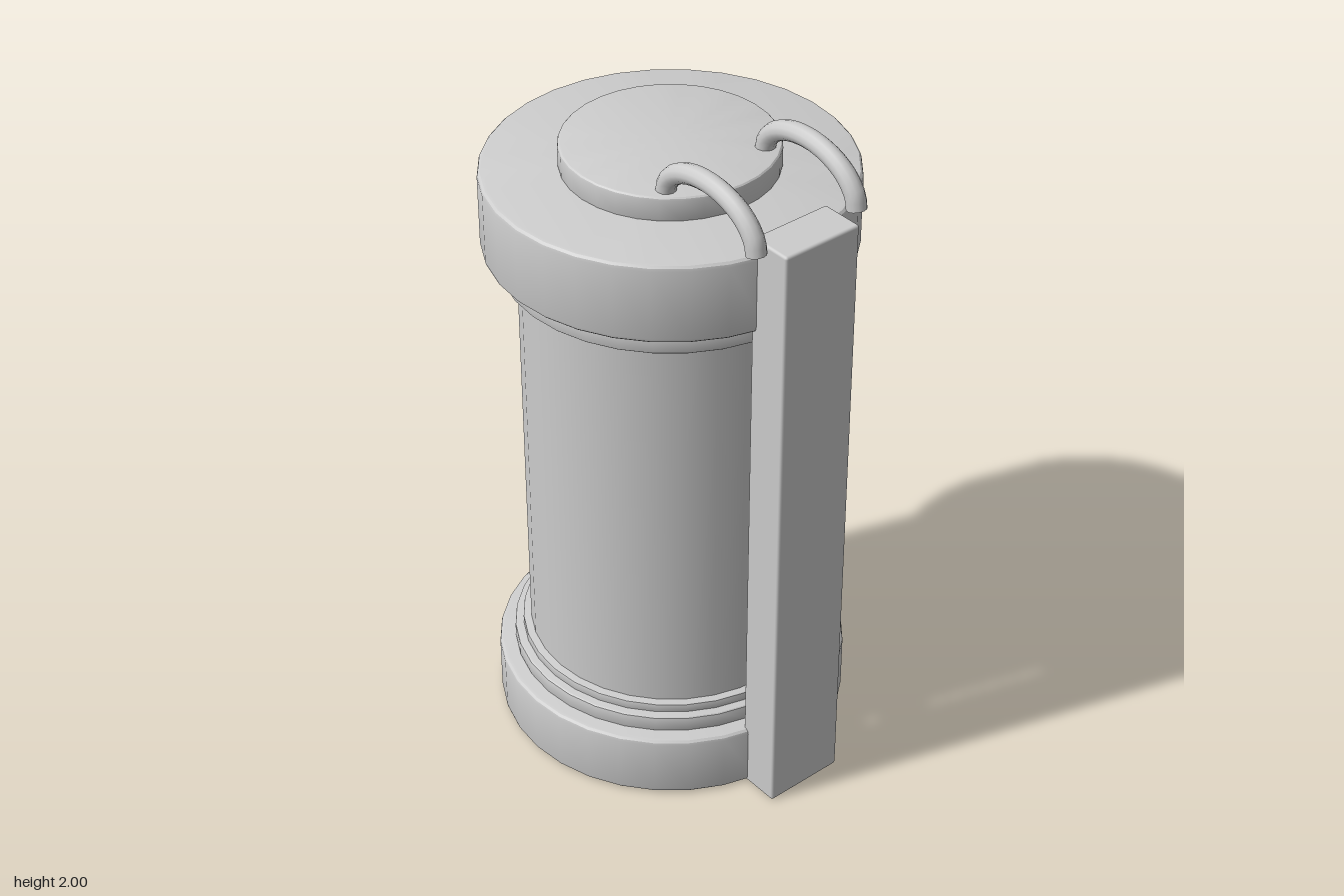
import * as THREE from 'three';
import { toCreasedNormals } from 'three/addons/utils/BufferGeometryUtils.js';
import { RoundedBoxGeometry } from 'three/addons/geometries/RoundedBoxGeometry.js';

const AXIS_Z = -0.045; // centre of the round body

export function createModel() {
  const model = new THREE.Group();
  const grey = new THREE.MeshStandardMaterial({ color: 0xcccccc });
  grey.name = 'light grey';

  function add(name, geometry, x = 0, y = 0, z = 0) {
    const mesh = new THREE.Mesh(geometry, grey);
    mesh.name = name;
    mesh.position.set(x, y, z);
    model.add(mesh);
    return mesh;
  }

  // Round slab from y0 to y1 with rounded rims of radius b
  function disc(name, radius, y0, y1, b) {
    const pts = [new THREE.Vector2(0, y0)];
    for (let i = 0; i <= 3; i++) {
      const a = (i / 3) * Math.PI / 2;
      pts.push(new THREE.Vector2(radius - b + b * Math.sin(a), y0 + b - b * Math.cos(a)));
    }
    for (let i = 0; i <= 3; i++) {
      const a = (i / 3) * Math.PI / 2;
      pts.push(new THREE.Vector2(radius - b + b * Math.cos(a), y1 - b + b * Math.sin(a)));
    }
    pts.push(new THREE.Vector2(0, y1));
    add(name, toCreasedNormals(new THREE.LatheGeometry(pts, 32), 0.5), 0, 0, AXIS_Z);
  }

  // Body and stacked collars
  disc('base', 0.51, 0.005, 0.203, 0.016);
  disc('lowerCollar', 0.463, 0.2, 0.252, 0.008);
  disc('lowerCollarStep', 0.438, 0.25, 0.28, 0.004);
  add('barrel', new THREE.CylinderGeometry(0.415, 0.415, 1.3, 32), 0, 0.89, AXIS_Z);
  disc('upperCollar', 0.465, 1.51, 1.557, 0.004);
  disc('upperCollarStep', 0.458, 1.555, 1.58, 0.004);
  disc('cap', 0.51, 1.57, 1.805, 0.016);
  disc('lid', 0.297, 1.8, 1.875, 0.01);

  // Front post and the brackets that hold it
  add('post', new RoundedBoxGeometry(0.246, 1.845, 0.127, 2, 0.008), 0, 0.928, 0.492);
  for (const y of [0.54, 1.26]) {
    add('bracket', new THREE.BoxGeometry(0.12, 0.052, 0.1), 0, y, 0.39);
  }

  // Arched pipes from the lid to both sides of the post
  const arch = [];
  for (let i = 0; i <= 12; i++) {
    const t = i / 12, a = t * Math.PI;
    arch.push(new THREE.Vector3(0, 1.85 + 0.02 * t + 0.112 * Math.sin(a), 0.318 + 0.176 * Math.cos(a)));
  }
  const path = new THREE.CatmullRomCurve3(arch);
  for (const side of [-1, 1]) {
    const x = side * 0.168;
    add('pipe', new THREE.TubeGeometry(path, 20, 0.028, 12), x, 0, 0);
    // End plugs
    for (const t of [0, 1]) {
      const plug = add('pipeEnd', new THREE.CircleGeometry(0.028, 12));
      plug.position.copy(path.getPointAt(t)).setX(x);
      const out = path.getTangentAt(t).multiplyScalar(t ? 1 : -1);
      plug.quaternion.setFromUnitVectors(new THREE.Vector3(0, 0, 1), out);
    }
  }
  return model;
}
